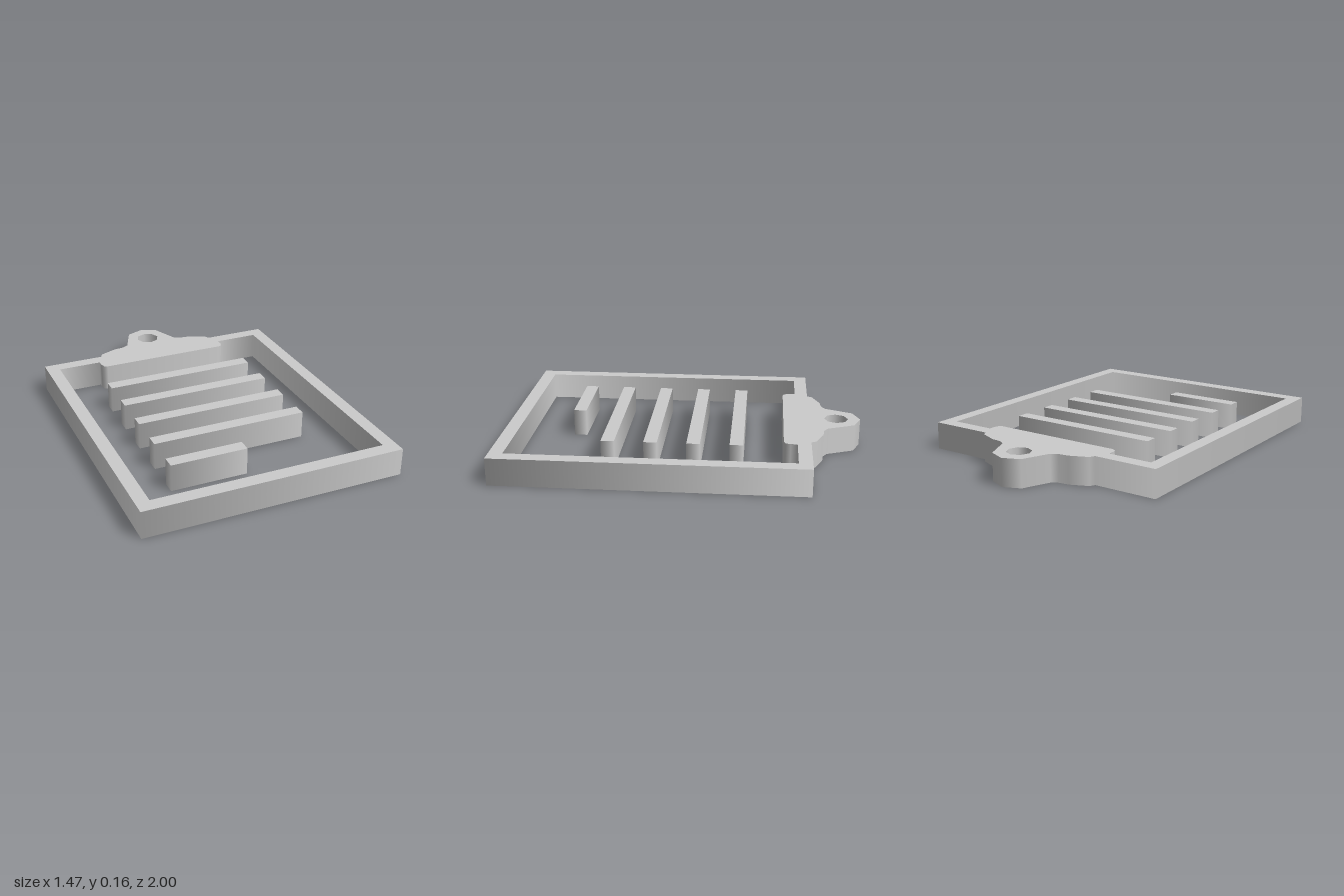
import * as THREE from 'three';
import { mergeGeometries } from 'three/addons/utils/BufferGeometryUtils.js';

const HEIGHT = 0.155;
const material = new THREE.MeshStandardMaterial({ color: 0xcccccc });

// Plan points are [x, z]; shapes are drawn with y = -z and laid flat afterwards.
const toPlan = (points) => points.map(([x, z]) => new THREE.Vector2(x, -z));
const mirrored = (half) => [...half, ...half.slice().reverse().map(([x, z]) => [-x, z])];
const rectangle = (x0, x1, z0, z1) => [[x0, z0], [x1, z0], [x1, z1], [x0, z1]];

// Copies one triangle range of a geometry, with flat normals.
function pick(geometry, { start, count }) {
  const part = new THREE.BufferGeometry();
  const positions = geometry.attributes.position.array.slice(start * 3, (start + count) * 3);
  part.setAttribute('position', new THREE.BufferAttribute(positions, 3));
  part.computeVertexNormals();
  return part;
}

// Averages the normals of the walls that meet in each upright edge.
function smoothWalls(walls) {
  const { position, normal } = walls.attributes;
  const sums = new Map();
  const edge = (i) => `${position.getX(i).toFixed(4)},${position.getZ(i).toFixed(4)}`;
  for (let i = 0; i < position.count; i++) {
    const sum = sums.get(edge(i)) ?? new THREE.Vector3();
    sums.set(edge(i), sum.add(new THREE.Vector3().fromBufferAttribute(normal, i)));
  }
  sums.forEach((sum) => sum.normalize());
  for (let i = 0; i < position.count; i++) normal.setXYZ(i, ...sums.get(edge(i)));
  return walls;
}

// Extrudes a plan upward, with flat caps and walls shaded smoothly around corners.
// Outlines run clockwise as seen from above, holes anticlockwise.
function slab(name, outline, holes = []) {
  const shape = new THREE.Shape(toPlan(outline));
  shape.holes = holes.map((hole) => new THREE.Path(toPlan(hole)));
  const solid = new THREE.ExtrudeGeometry(shape, { depth: HEIGHT, bevelEnabled: false });
  solid.rotateX(-Math.PI / 2);
  const [caps, walls] = solid.groups.map((range) => pick(solid, range));
  const mesh = new THREE.Mesh(mergeGeometries([caps, smoothWalls(walls)]), material);
  mesh.name = name;
  return mesh;
}

export function createModel() {
  const group = new THREE.Group();
  group.name = 'clipboard';

  // Board frame and clip share one outline, given from the clip top round to the front.
  const outer = [
    [0, -1],
    ...mirrored([
      [0.095, -0.961], [0.16, -0.807], [0.196, -0.785], [0.255, -0.779],
      [0.355, -0.737], [0.37, -0.708], [0.733, -0.708], [0.733, 1],
    ]),
  ];

  // Inner opening, stepping round the lower edge of the clip.
  const opening = mirrored([
    [0.658, 0.922], [0.658, -0.633], [0.404, -0.633],
    [0.404, -0.596], [0.395, -0.569], [0.375, -0.559],
  ]);

  // Octagonal hanging hole.
  const hangingHole = Array.from({ length: 8 }, (_, i) => {
    const a = (i / 8) * Math.PI * 2;
    return [0.068 * Math.sin(a), -0.862 + 0.068 * Math.cos(a)];
  });
  group.add(slab('frameAndClip', outer, [opening, hangingHole]));

  // Written lines: four full bars and a short last one.
  for (let i = 0; i < 5; i++) {
    const z = -0.304 + i * 0.2345;
    const end = i < 4 ? 0.443 : -0.013;
    group.add(slab(`textLine${i + 1}`, rectangle(-0.448, end, z - 0.037, z + 0.037)));
  }
  return group;
}
